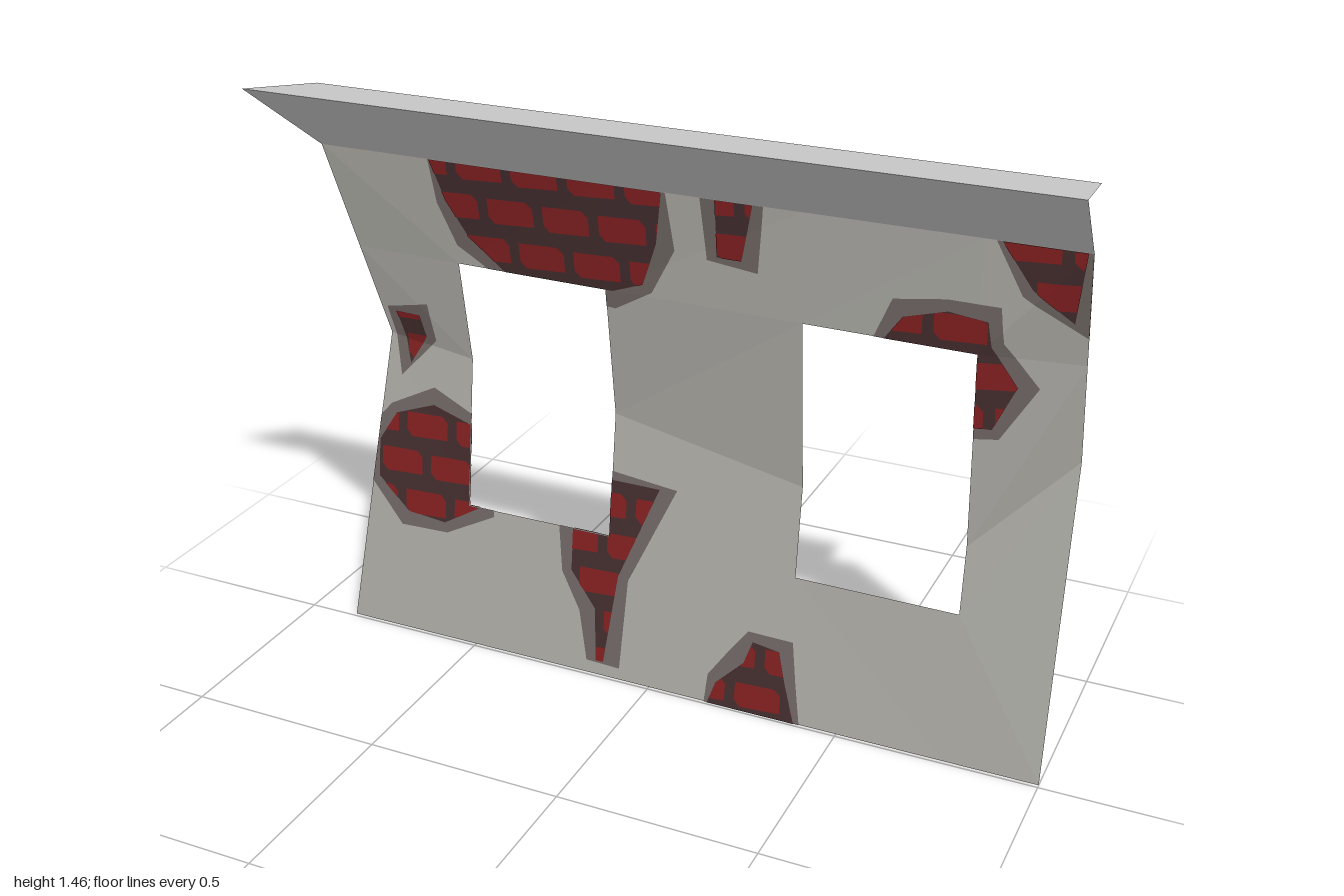
import * as THREE from 'three';

const paint = (name, color) => new THREE.MeshStandardMaterial({ name, color, side: THREE.DoubleSide });

// Wall columns: x at foot, then x, y, z at the inward fold (head matches the foot)
const HEIGHT = 1.31, EDGE_Z = -0.01, SILL = 0.38, LINTEL = 1.04;
const COLUMNS = [
  [-0.87, -0.77, 0.80, -0.115],
  [-0.53, -0.53, 0.77, -0.105],
  [-0.13, -0.13, 0.70, -0.098],
  [0.365, 0.365, 0.61, -0.083],
  [0.77, 0.77, 0.55, -0.07],
  [1.0, 1.0, 0.79, -0.115],
];

// Five points up one column: foot, sill, fold, lintel, head
function columnPoints([x, foldX, foldY, foldZ]) {
  return [0, SILL, foldY, LINTEL, HEIGHT].map((y) => {
    const t = y <= foldY ? y / foldY : (HEIGHT - y) / (HEIGHT - foldY);
    return new THREE.Vector3(x + (foldX - x) * t, y, EDGE_Z + (foldZ - EDGE_Z) * t);
  });
}

// Triangles of the folded wall, leaving the two windows open
function wallFacets() {
  const cols = COLUMNS.map(columnPoints), facets = [];
  for (let c = 0; c < 5; c++) {
    for (let r = 0; r < 4; r++) {
      const isWindow = (c === 1 || c === 3) && (r === 1 || r === 2);
      if (isWindow) continue;
      const a = cols[c][r], b = cols[c + 1][r], d = cols[c + 1][r + 1], e = cols[c][r + 1];
      if (c === 0 || r === 0) facets.push([a, b, e], [b, d, e]);
      else facets.push([a, b, d], [a, d, e]);
    }
  }
  return facets;
}

function meshFrom(name, triangles, material) {
  const g = new THREE.BufferGeometry().setFromPoints(triangles.flat());
  g.computeVertexNormals();
  const mesh = new THREE.Mesh(g, material);
  mesh.name = name;
  return mesh;
}

const side = (a, b, p) => (b.x - a.x) * (p.y - a.y) - (b.y - a.y) * (p.x - a.x);

// Part of a convex polygon inside a counter-clockwise convex polygon
function clip(poly, region) {
  let out = poly;
  region.forEach((a, i) => {
    const b = region[(i + 1) % region.length], src = out;
    out = [];
    src.forEach((p, k) => {
      const q = src[(k + 1) % src.length], sp = side(a, b, p), sq = side(a, b, q);
      if (sp >= 0) out.push(p);
      if (sp * sq < 0) out.push(p.clone().lerp(q, sp / (sp - sq)));
    });
  });
  return out;
}

// Outline in hundredths -> counter-clockwise points
function outline(flat) {
  const pts = [];
  for (let i = 0; i < flat.length; i += 2) pts.push(new THREE.Vector2(flat[i] / 100, flat[i + 1] / 100));
  return THREE.ShapeUtils.isClockWise(pts) ? pts.reverse() : pts;
}

// Push an outline outwards by uneven amounts
function grow(pts) {
  return pts.map((p, i) => {
    const next = pts[(i + 1) % pts.length], prev = pts[(i + pts.length - 1) % pts.length];
    const out = new THREE.Vector2(next.y - prev.y, prev.x - next.x).normalize();
    return p.clone().addScaledVector(out, i % 2 ? 0.028 : 0.046);
  });
}

function triangulate(pts) {
  return THREE.ShapeUtils.triangulateShape(pts, []).map((f) => {
    const t = f.map((i) => pts[i]);
    return side(...t) < 0 ? t.reverse() : t;
  });
}

// Lay flat polygons on both faces of the wall
function drape(polys, facets, lift) {
  const triangles = [];
  for (const facet of facets) {
    const plane = new THREE.Plane().setFromCoplanarPoints(...facet), n = plane.normal;
    for (const poly of polys) {
      const piece = clip(poly, facet);
      for (const s of [lift, -lift]) {
        const v = piece.map((p) => new THREE.Vector3(p.x, p.y, -(n.x * p.x + n.y * p.y + plane.constant) / n.z + s));
        for (let i = 1; i + 1 < v.length; i++) {
          triangles.push(s > 0 ? [v[0], v[i], v[i + 1]] : [v[0], v[i + 1], v[i]]);
        }
      }
    }
  }
  return triangles;
}

// Staggered courses of chipped bricks
function bricks() {
  const list = [], w = 0.06, h = 0.034, k = 0.016;
  for (let row = 0; row < 13; row++) {
    const y = 0.045 + row * 0.105;
    for (let col = -7; col < 8; col++) {
      const x = col * 0.146 + (row % 2) * 0.073;
      list.push([[-w + k, -h], [w, -h + 0.006], [w, h - k], [w - k, h], [-w, h - 0.004], [-w, -h + k]]
        .map(([dx, dy]) => new THREE.Vector2(x + dx, y + dy)));
    }
  }
  return list;
}

// Patches where the plaster has fallen off, trimmed by the wall and windows
const PATCHES = [
  [-57, 131, -54, 121, -49, 112, -40, 104, -11, 104, -3, 107, 1, 118, 3, 131],
  [16, 131, 16, 117, 22, 117, 25, 131],
  [81, 131, 88, 121, 97, 114, 99, 131],
  [55, 103, 60, 110, 70, 113, 79, 112, 80, 106, 86, 97, 81, 86, 70, 86],
  [-74, 87, -67, 87, -66, 81, -71, 73],
  [-75, 59, -64, 63, -50, 59, -50, 38, -60, 32, -71, 33, -80, 41, -80, 51],
  [-13, 53, 0, 53, -10, 28, -13, 4, -15, 4, -16, 18, -23, 27, -23, 39],
  [16, 0, 18, 6, 25, 13, 27, 19, 34, 18, 36, 10, 39, 0],
];

export function createModel() {
  const group = new THREE.Group();
  const plaster = paint('plaster', 0xaeada7), eaveGrey = paint('eave grey', 0xc6c6c6);
  const rim = paint('broken plaster', 0x716865), mortar = paint('dark mortar', 0x442d2e);
  const red = paint('brick red', 0x842021);

  const facets = wallFacets();
  group.add(meshFrom('wall', facets, plaster));

  // Weathered patches: rim, mortar, then bricks
  const outlines = PATCHES.map(outline);
  const rimTris = outlines.flatMap((pts) => triangulate(grow(pts)));
  const mortarTris = outlines.flatMap(triangulate);
  const brickPieces = bricks().flatMap((b) => mortarTris.map((t) => clip(b, t))).filter((p) => p.length > 2);
  group.add(meshFrom('plasterRims', drape(rimTris, facets, 0.0015), rim));
  group.add(meshFrom('mortarPatches', drape(mortarTris, facets, 0.003), mortar));
  group.add(meshFrom('exposedBricks', drape(brickPieces, facets, 0.0045), red));

  // Eave: slanted soffit and flat top
  const v = (x, y, z) => new THREE.Vector3(x, y, z);
  const quad = (a, b, c, d) => [[a, b, c], [a, c, d]];
  const outerL = v(-1, 1.46, 0.11), outerR = v(1, 1.46, 0.11);
  group.add(meshFrom('eaveSoffit', quad(v(-0.87, HEIGHT, EDGE_Z), v(1, HEIGHT, EDGE_Z), outerR, outerL), eaveGrey));
  group.add(meshFrom('eaveTop', quad(outerL, outerR, v(1, 1.46, EDGE_Z), v(-0.87, 1.46, EDGE_Z)), eaveGrey));
  return group;
}
